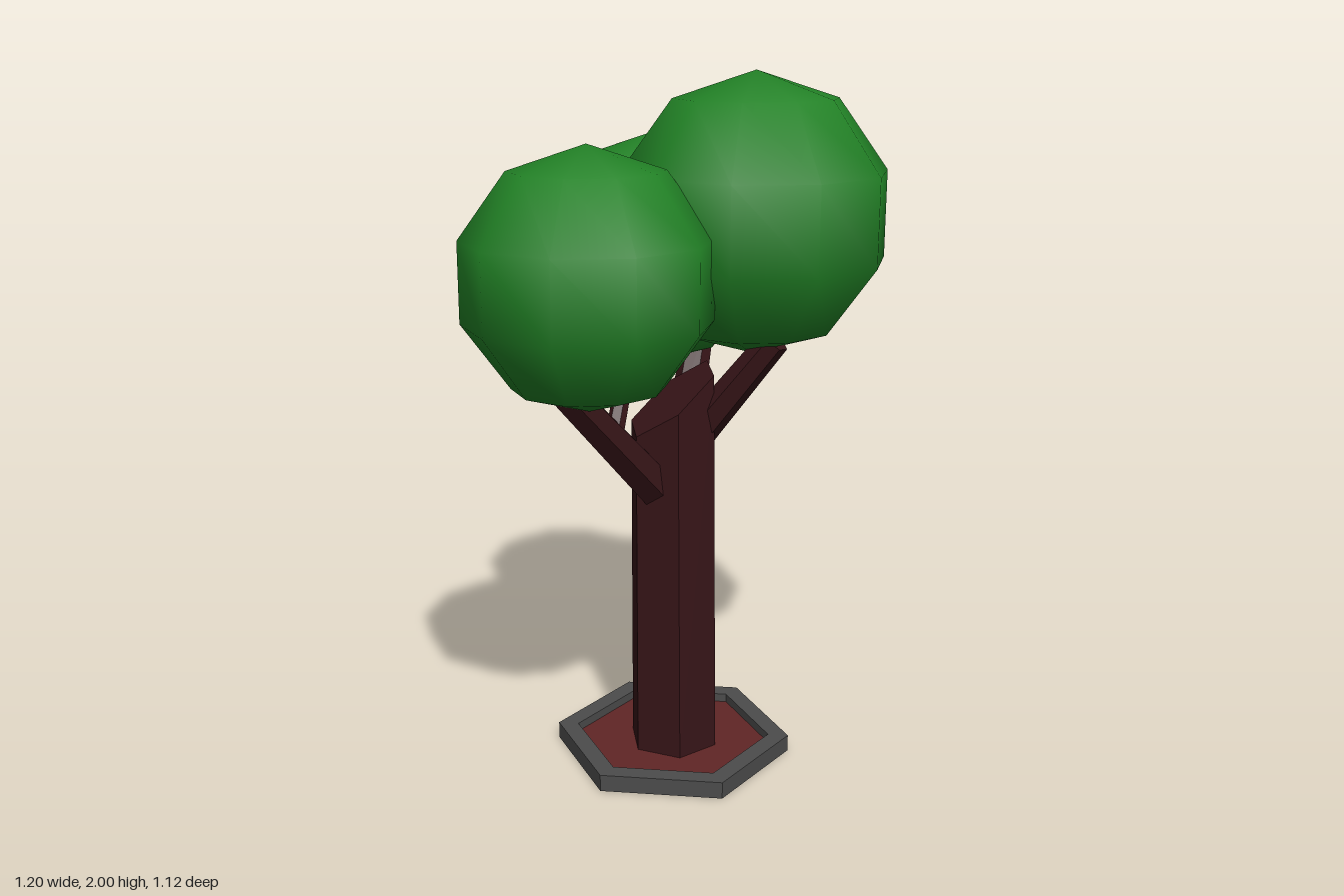
import * as THREE from 'three';

const mat = (color, flatShading = true) => new THREE.MeshStandardMaterial({ color, flatShading });

export function createModel() {
  const tree = new THREE.Group();
  const bark = mat(0x371518);
  const leaves = mat(0x228226, false);

  const add = (name, geometry, material, x = 0, y = 0, z = 0) => {
    const mesh = new THREE.Mesh(geometry, material);
    mesh.name = name;
    mesh.position.set(x, y, z);
    tree.add(mesh);
    return mesh;
  };

  // Hexagonal kerb with corners at front and back
  const hexagon = (r) => Array.from({ length: 6 }, (_, i) => {
    const a = Math.PI / 2 + i * Math.PI / 3;
    return new THREE.Vector2(r * Math.cos(a), r * Math.sin(a));
  });
  const kerbShape = new THREE.Shape(hexagon(0.35));
  kerbShape.holes.push(new THREE.Path(hexagon(0.29).reverse()));
  const kerb = new THREE.ExtrudeGeometry(kerbShape, { depth: 0.05, bevelEnabled: false });
  kerb.rotateX(-Math.PI / 2);
  add('kerb', kerb, mat(0x4c4c4c), 0.036, 0, 0.05);

  // Soil recessed inside the kerb
  add('soil', new THREE.CylinderGeometry(0.292, 0.292, 0.012, 6), mat(0x602626), 0.036, 0.018, 0.05);

  // Six-sided tapered trunk, its top cut on a slant
  const trunk = new THREE.CylinderGeometry(0.127, 0.135, 1, 6, 1, false, THREE.MathUtils.degToRad(44));
  trunk.translate(0, 0.5, 0);
  const p = trunk.attributes.position;
  for (let i = 0; i < p.count; i++) {
    const top = p.getY(i) > 0.5;
    const x = p.getX(i) + (top ? 0.033 : 0.04);
    const z = p.getZ(i) + (top ? 0.045 : 0.05);
    p.setXYZ(i, x, top ? 1.06 + 0.78 * x + 0.1 * z : 0.02, z);
  }
  add('trunk', trunk, bark);

  // Branches run from the trunk into the crowns
  const up = new THREE.Vector3(0, 1, 0);
  const branch = (name, from, to, r0, r1) => {
    const a = new THREE.Vector3(...from), b = new THREE.Vector3(...to);
    const dir = b.clone().sub(a);
    const mesh = add(name, new THREE.CylinderGeometry(r1, r0, dir.length(), 6), bark);
    mesh.position.copy(a).add(b).multiplyScalar(0.5);
    mesh.quaternion.setFromUnitVectors(up, dir.normalize());
  };
  branch('rightLowBranch', [-0.02, 0.83, 0.07], [-0.37, 1.21, 0.21], 0.062, 0.047);
  branch('frontBranch', [0.08, 0.95, 0.05], [0.255, 1.28, 0.24], 0.055, 0.043);
  branch('backBranch', [0.08, 0.94, 0.0], [0.235, 1.22, -0.21], 0.055, 0.043);
  branch('twig', [-0.18, 1.02, 0.13], [-0.05, 1.3, -0.03], 0.026, 0.022);

  // Round leafy crowns
  const crown = (name, r, x, y, z) => {
    const ball = new THREE.SphereGeometry(r, 10, 5);
    ball.rotateY(Math.PI / 2);
    add(name, ball, leaves, x, y, z);
  };
  crown('rightCrown', 0.35, -0.285, 1.48, 0.222);
  crown('leftCrown', 0.39, 0.246, 1.61, 0.118);
  crown('backCrown', 0.342, 0.094, 1.474, -0.235);

  return tree;
}
